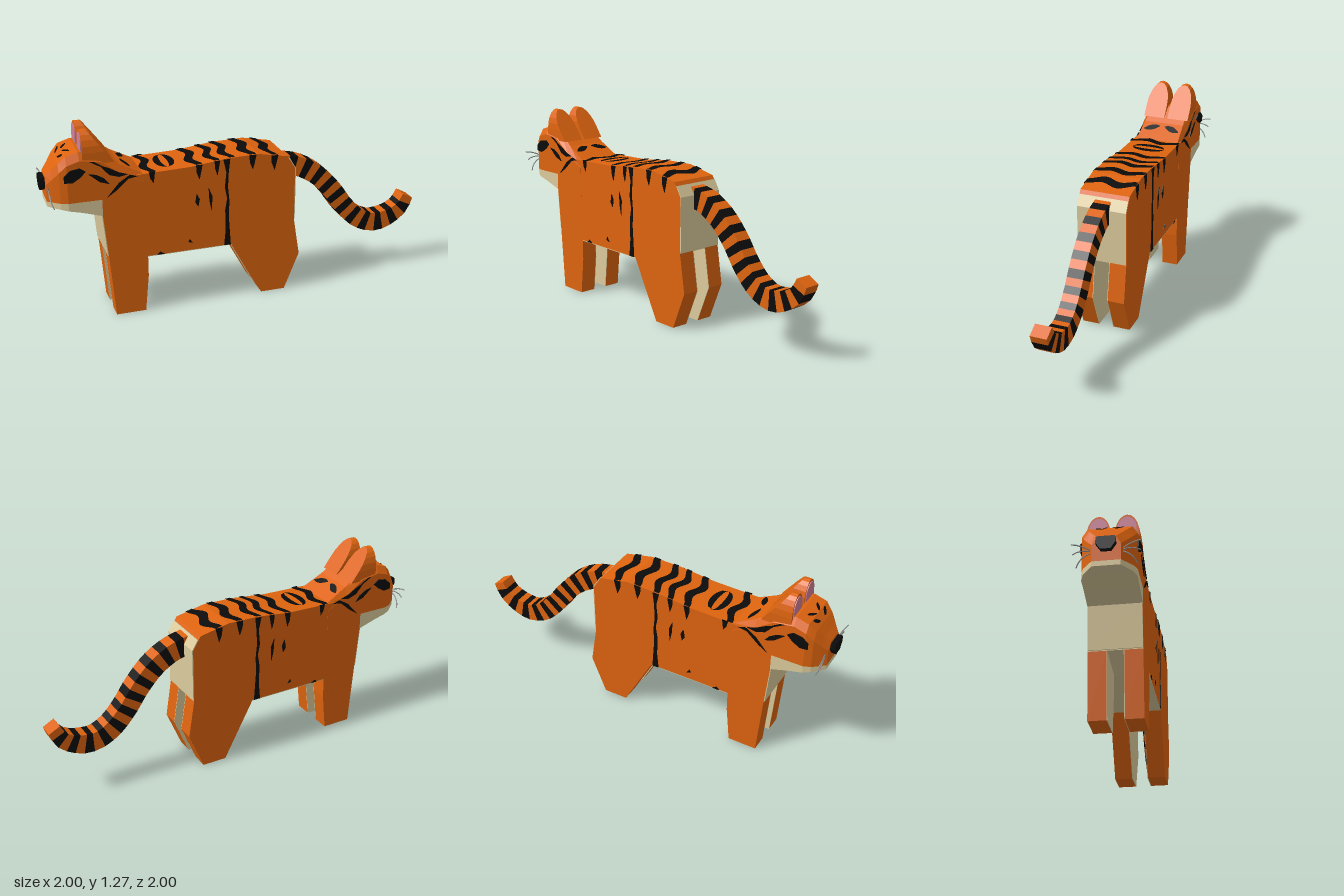
import * as THREE from 'three';

const mat = (name, color, side = THREE.FrontSide) => {
  const m = new THREE.MeshStandardMaterial({ color, side });
  m.name = name;
  return m;
};
const HALF = 0.165; // half width of the body

export function createModel() {
  const orange = mat('orange fur', 0xde640f);
  const black = mat('black stripe', 0x0b0b0b, THREE.DoubleSide);
  const cream = mat('cream fur', 0xdccb9c);
  const pink = mat('inner ear pink', 0xd08098);
  const grey = mat('whisker grey', 0x8c8c8c);

  const model = new THREE.Group();
  const tiger = new THREE.Group();
  tiger.name = 'tiger';
  tiger.rotation.y = -Math.PI / 4; // local +z is the way the animal faces
  model.add(tiger);

  const add = (name, geo, material) => {
    const mesh = new THREE.Mesh(geo, material);
    mesh.name = name;
    tiger.add(mesh);
    return mesh;
  };
  const shapeOf = pts => new THREE.Shape(pts.map(p => new THREE.Vector2(...p)));
  // Side outline in (z, y), extruded sideways and centred on x
  const slab = (name, pts, width, x, material) => {
    const g = new THREE.ExtrudeGeometry(shapeOf(pts), { depth: width, bevelEnabled: false });
    g.rotateY(-Math.PI / 2).translate(x + width / 2, 0, 0);
    return add(name, g, material);
  };
  const surface = (name, positions, material) => {
    const g = new THREE.BufferGeometry();
    g.setAttribute('position', new THREE.Float32BufferAttribute(positions, 3));
    g.computeVertexNormals();
    return add(name, g, material);
  };
  // Skin between rings, sorted into one mesh per colour
  const loft = (name, rings, colourOf) => {
    const parts = new Map();
    const tri = (m, ...v) => {
      if (!parts.has(m)) parts.set(m, []);
      v.forEach(p => parts.get(m).push(...p));
    };
    const n = rings[0].length, last = rings.length - 1;
    for (let s = 0; s < last; s++) for (let i = 0; i < n; i++) {
      const a = rings[s], b = rings[s + 1], j = (i + 1) % n, m = colourOf(s, i);
      tri(m, a[i], a[j], b[j]);
      tri(m, a[i], b[j], b[i]);
    }
    const a = rings[0], b = rings[last];
    for (let i = 1; i < n - 1; i++) tri(colourOf(0, i), a[0], a[i + 1], a[i]);
    if (n === 8) {
      tri(cream, b[0], b[1], b[2]);
      tri(cream, b[0], b[2], b[7]);
      for (let i = 3; i < 7; i++) tri(orange, b[2], b[i], b[i + 1]);
    } else for (let i = 1; i < n - 1; i++) tri(colourOf(last - 1, i), b[0], b[i], b[i + 1]);
    for (const [m, p] of parts) surface(`${name} ${m.name}`, p, m);
  };

  // Trunk
  slab('trunk', [[0.59, 0.39], [0.845, 0.43], [0.87, 0.7], [0.87, 0.8], [0.8, 0.94], [0.62, 0.957],
    [0.3, 0.967], [0.05, 0.995], [-0.16, 1], [-0.36, 0.96], [-0.415, 0.87], [-0.415, 0.51], [0.02, 0.39]],
  HALF * 2, 0, orange);
  slab('chestPatch', [[0.845, 0.43], [0.851, 0.43], [0.876, 0.715], [0.868, 0.715]], 0.328, 0, cream);
  slab('rumpPatch', [[-0.415, 0.51], [-0.415, 0.87], [-0.375, 0.935], [-0.381, 0.938], [-0.421, 0.871], [-0.421, 0.51]],
    0.328, 0, cream);
  slab('bellyPatch', [[-0.415, 0.505], [0.02, 0.385], [0.59, 0.385], [0.845, 0.425], [0.845, 0.43], [0.59, 0.39],
    [0.02, 0.39], [-0.415, 0.51]], 0.328, 0, cream);

  // Legs with cream inner sides
  const frontLeg = [[0.81, 0], [0.845, 0.43], [0.59, 0.39], [0.59, 0.25], [0.615, 0]];
  const hindLeg = [[-0.19, 0], [0.02, 0.39], [-0.415, 0.51], [-0.457, 0.25], [-0.355, 0]];
  for (const s of [1, -1]) for (const [name, pts] of [['frontLeg', frontLeg], ['hindLeg', hindLeg]]) {
    slab(name, pts, 0.112, s * 0.109, orange);
    slab(`${name} innerSide`, pts, 0.004, s * 0.051, cream);
  }

  // Neck and head: z, half width, bottom, top, half width of the top
  const rows = [[0.6, 0.166, 0.7, 0.955, 0.15], [0.75, 0.166, 0.7, 1.035, 0.14], [0.87, 0.166, 0.71, 1.12, 0.13],
    [1, 0.166, 0.75, 1.14, 0.135], [1.08, 0.166, 0.77, 1.115, 0.135], [1.125, 0.148, 0.78, 1.07, 0.115],
    [1.165, 0.115, 0.783, 1.02, 0.08], [1.2, 0.085, 0.787, 0.98, 0.055]];
  loft('head', rows.map(([z, h, b, t, w]) => [[-h, b, z], [h, b, z], [h, 0.82, z], [h, t - 0.05, z],
    [w, t, z], [-w, t, z], [-h, t - 0.05, z], [-h, 0.82, z]]),
  (s, i) => s >= 2 && (i < 2 || i === 7) ? cream : orange);

  // Ears: arched plates that thicken towards the neck
  const arch = (w, y0, y1) => {
    const pts = [[-w, y0], [w, y0]];
    for (let i = 0; i <= 10; i++) {
      const a = i / 10 * Math.PI;
      pts.push([w * Math.cos(a), y0 + (y1 - y0) * (0.35 + 0.65 * Math.sin(a))]);
    }
    return shapeOf(pts);
  };
  for (const s of [1, -1]) {
    const g = new THREE.ExtrudeGeometry(arch(0.075, 1.06, 1.268), { depth: 0.04, bevelEnabled: false });
    const p = g.attributes.position;
    for (let i = 0; i < p.count; i++) {
      if (p.getZ(i) < 0.01) p.setZ(i, -(1.27 - p.getY(i)) * 0.75);
    }
    g.computeVertexNormals();
    g.translate(s * 0.087, 0, 0.94);
    add('ear', g, orange);
    const inner = new THREE.ExtrudeGeometry(arch(0.058, 1.135, 1.25), { depth: 0.005, bevelEnabled: false });
    add('innerEar', inner.translate(s * 0.087, 0, 0.98), pink);
  }

  // Nose
  const nose = new THREE.ExtrudeGeometry(shapeOf([[-0.03, 0.88], [0.03, 0.88], [0.06, 0.925], [0.055, 0.965],
    [-0.055, 0.965], [-0.06, 0.925]]), { depth: 0.05, bevelEnabled: false });
  add('nose', nose.translate(0, 0, 1.182), black);

  // Whiskers
  for (const s of [1, -1]) for (const [x, y, z] of [[0.205, 0.935, 1.21], [0.2, 0.88, 1.19], [0.18, 0.8, 1.17]]) {
    const curve = new THREE.QuadraticBezierCurve3(new THREE.Vector3(s * 0.07, 0.89, 1.18),
      new THREE.Vector3(s * 0.15, (y + 0.91) / 2 + 0.015, 1.2), new THREE.Vector3(s * x, y, z));
    add('whisker', new THREE.TubeGeometry(curve, 5, 0.004, 5), grey);
  }

  // Side markings as thin plates in (z, y), mirrored
  const marks = [
    ['eye', [[1.1, 0.96], [1.1, 1.0], [1.06, 1.035], [1.0, 1.045], [0.965, 1.02], [1.0, 0.985], [1.05, 0.955]]],
    ['flankStripe', [[0.03, 0.39], [0.075, 0.39], [0.065, 0.5], [0.068, 0.64], [0.055, 0.72], [0.07, 0.8], [0.06, 0.9],
      [0.08, 0.99], [0.035, 0.99], [0.045, 0.9], [0.05, 0.8], [0.04, 0.7], [0.045, 0.6]]],
    ['flankSpot', [[0.16, 0.65], [0.175, 0.72], [0.18, 0.81], [0.155, 0.75]]],
    ['flankSpot', [[0.25, 0.69], [0.27, 0.72], [0.26, 0.78], [0.24, 0.74]]],
    ['shoulderStripe', [[0.53, 0.965], [0.57, 0.965], [0.56, 0.92], [0.54, 0.89]]],
    ['neckStripe', [[0.64, 0.95], [0.7, 0.94], [0.78, 0.87], [0.84, 0.83], [0.76, 0.92], [0.69, 0.965]]],
    ['neckStripe', [[0.7, 0.97], [0.76, 0.96], [0.82, 0.98], [0.88, 1.05], [0.82, 1.025], [0.76, 0.99]]],
    ['cheekStripe', [[0.82, 0.92], [0.88, 0.94], [0.95, 1.0], [0.9, 0.99], [0.85, 0.96]]],
    ['neckStripe', [[0.84, 1.03], [0.88, 1.045], [0.94, 1.08], [0.91, 1.075]]],
    ['bellySpot', [[0.48, 0.39], [0.53, 0.39], [0.51, 0.41]]],
    ['bellySpot', [[0.29, 0.44], [0.32, 0.45], [0.31, 0.47]]],
  ];
  for (const s of [1, -1]) for (const [name, pts] of marks)
    slab(name, pts, name === 'eye' ? 0.009 : 0.004, s * (name === 'eye' ? 0.17 : 0.168), black);

  // Height of the back line, used to drape the back stripes
  const line = [[-0.36, 0.96], [-0.16, 1], [0.05, 0.995], [0.3, 0.967], [0.6, 0.957], [0.75, 1.035], [0.87, 1.12],
    [1, 1.14], [1.08, 1.115], [1.125, 1.07], [1.165, 1.02]];
  const topY = z => {
    let i = 1;
    while (i < line.length - 1 && line[i][0] < z) i++;
    const [a, b] = [line[i - 1], line[i]];
    return a[1] + (b[1] - a[1]) * (z - a[0]) / (b[0] - a[0]);
  };
  // A strip across the back from x0 to x1, given its near and far edge
  const drape = (name, x0, x1, lo, hi) => {
    const pos = [], N = 12, M = 3;
    const at = (i, j) => {
      const x = x0 + (x1 - x0) * i / N, z = lo(x) + (hi(x) - lo(x)) * j / M;
      return [x, topY(z) + 0.005, z];
    };
    for (let i = 0; i < N; i++) for (let j = 0; j < M; j++) {
      const [a, b, c, d] = [at(i, j), at(i, j + 1), at(i + 1, j + 1), at(i + 1, j)];
      pos.push(...a, ...b, ...c, ...a, ...c, ...d);
    }
    surface(name, pos, black);
  };
  const wave = x => 0.02 * Math.sin(x * 28);
  for (const [z, h] of [[-0.25, 0.034], [-0.1, 0.034], [0.04, 0.028], [0.14, 0.026], [0.26, 0.03], [0.56, 0.028]]) {
    const half = x => h * (0.65 + 0.35 * Math.cos(x * 9));
    drape('backStripe', -0.166, 0.166, x => z + wave(x) - half(x), x => z + wave(x) + half(x));
    if (z !== 0.04 && z !== 0.56) for (const s of [1, -1]) {
      const c = z + wave(s * HALF), t = topY(c);
      slab('stripeTip', [[c - h * 0.7, t], [c - h * 0.3, t - 0.06], [c, t - 0.1], [c + h * 0.6, t - 0.05], [c + h * 0.7, t]],
        0.004, s * 0.167, black);
    }
  }
  // Open diamond over the shoulders
  const bow = (r, x) => r * Math.sqrt(Math.max(0, 1 - (x / 0.115) ** 2));
  drape('shoulderRing', -0.115, 0.115, x => 0.43 + bow(0.022, x), x => 0.43 + bow(0.065, x));
  drape('shoulderRing', -0.115, 0.115, x => 0.43 - bow(0.065, x), x => 0.43 - bow(0.022, x));
  // Neck and brow strokes
  for (const s of [1, -1]) {
    const stroke = (name, x0, x1, z, h, slope) => {
      const m = (x0 + x1) / 2, r = (x1 - x0) / 2;
      const c = x => z + slope * (Math.abs(x) - m);
      const w = x => h * Math.max(0, 1 - ((Math.abs(x) - m) / r) ** 2);
      drape(name, s * x0, s * x1, x => c(x) - w(x), x => c(x) + w(x));
    };
    stroke('neckStroke', 0.015, 0.13, 0.7, 0.022, -0.3);
    stroke('browStroke', 0.015, 0.075, 1.06, 0.012, -0.6);
    stroke('browStroke', 0.03, 0.09, 1.1, 0.01, -0.4);
  }

  // Banded tail, from the tip back to the rump
  const path = new THREE.CatmullRomCurve3([[-1.32, 0.51], [-1.275, 0.425], [-1.18, 0.365], [-1.06, 0.345],
    [-0.94, 0.395], [-0.83, 0.505], [-0.74, 0.63], [-0.62, 0.755], [-0.49, 0.83], [-0.36, 0.86]]
    .map(([z, y]) => new THREE.Vector3(0, y, z)));
  const across = new THREE.Vector3(1, 0, 0), rings = [], SEG = 23;
  for (let i = 0; i <= SEG; i++) {
    const c = path.getPointAt(i / SEG), n = path.getTangentAt(i / SEG).cross(across);
    const h = 0.042 + 0.024 * Math.min(1, i / 5);
    rings.push([[-1, -1], [1, -1], [1, 1], [-1, 1]].map(([a, b]) => [a * 0.053, c.y + n.y * b * h, c.z + n.z * b * h]));
  }
  loft('tail', rings, s => s % 2 ? black : orange);

  return model;
}
